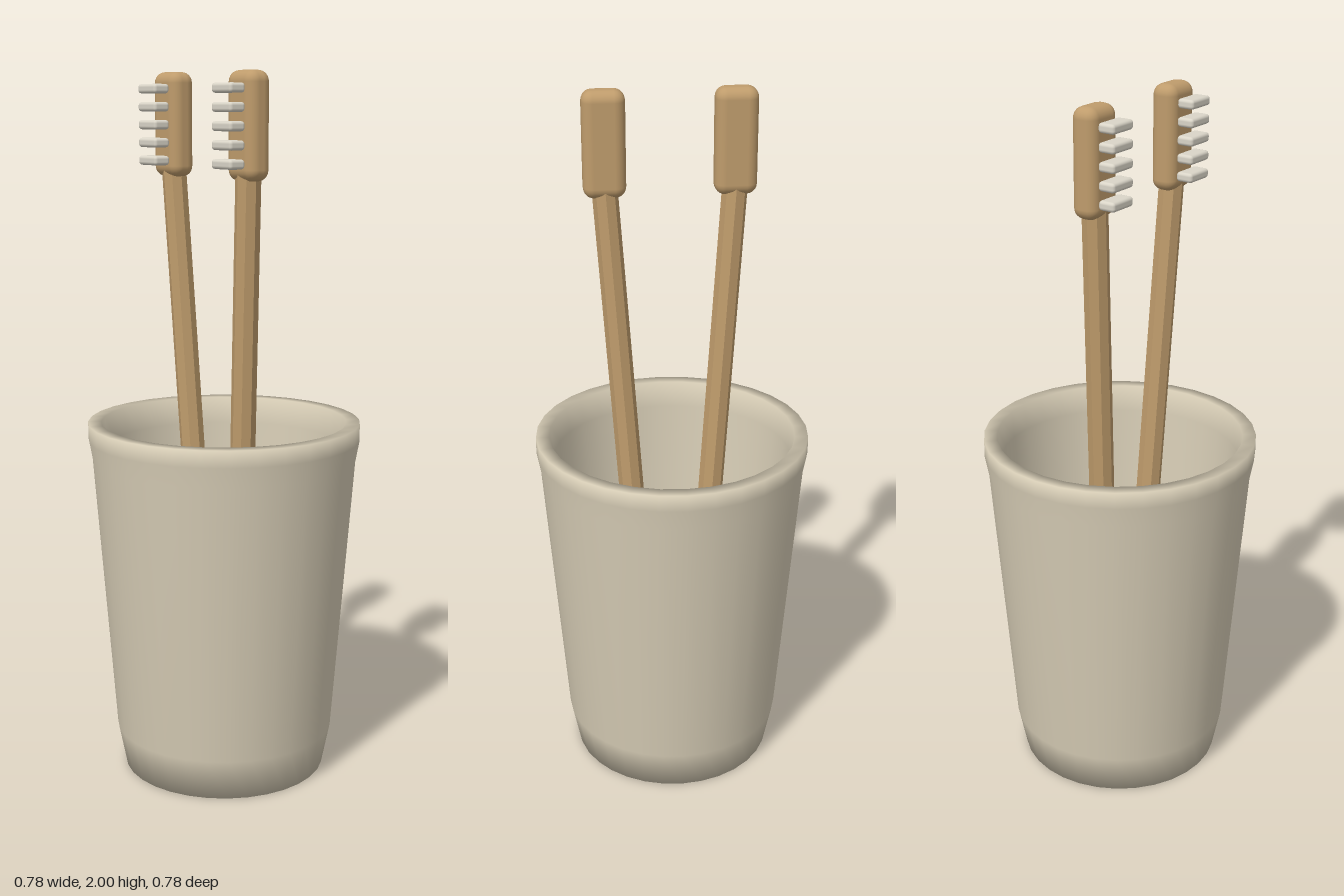
import * as THREE from 'three';
import { RoundedBoxGeometry } from 'three/addons/geometries/RoundedBoxGeometry.js';

const ceramic = new THREE.MeshStandardMaterial({ name: 'ceramic', color: 0xd6ccb5 });
const wood = new THREE.MeshStandardMaterial({ name: 'wood', color: 0xbf9c6c });
const woodFlat = wood.clone();
woodFlat.name = 'woodFaceted';
woodFlat.flatShading = true;
const bristle = new THREE.MeshStandardMaterial({ name: 'bristle', color: 0xdad5c8 });

function add(parent, name, geometry, material, x = 0, y = 0, z = 0) {
  const mesh = new THREE.Mesh(geometry, material);
  mesh.name = name;
  mesh.position.set(x, y, z);
  parent.add(mesh);
  return mesh;
}

// One toothbrush leaning outwards; side is +1 or -1
function createBrush(side) {
  const brush = new THREE.Group();
  brush.name = side > 0 ? 'leftToothbrush' : 'rightToothbrush';

  // Handle runs from the cup floor up into the head
  const foot = new THREE.Vector3(side * 0.065, 0.07, 0);
  const neck = new THREE.Vector3(side * 0.176, 1.74, 0.048);
  const axis = neck.clone().sub(foot);
  const handle = add(brush, 'handle', new THREE.CylinderGeometry(0.035, 0.036, axis.length(), 8), woodFlat);
  handle.position.copy(foot).add(neck).multiplyScalar(0.5);
  handle.quaternion.setFromUnitVectors(new THREE.Vector3(0, 1, 0), axis.normalize());

  // Upright head with five bristle rows in front of it
  add(brush, 'head', new RoundedBoxGeometry(0.116, 0.288, 0.075, 3, 0.03), wood, side * 0.176, 1.856, 0.048);
  for (let i = 0; i < 5; i++) {
    add(brush, 'bristleRow', new RoundedBoxGeometry(0.088, 0.026, 0.05, 2, 0.009), bristle,
      side * 0.176, 1.758 + i * 0.049, 0.115);
  }
  return brush;
}

export function createModel() {
  const model = new THREE.Group();
  model.name = 'toothbrushCup';

  // Cup: outer wall, flared lip, inner wall and floor in one profile
  const profile = [
    [0, 0], [0.292, 0], [0.316, 0.12], [0.377, 0.92], [0.388, 0.98], [0.388, 1.028],
    [0.35, 1.028], [0.343, 0.95], [0.285, 0.14], [0.26, 0.07], [0, 0.07],
  ].map(([r, y]) => new THREE.Vector2(r, y));
  add(model, 'cup', new THREE.LatheGeometry(profile, 32), ceramic);

  model.add(createBrush(1), createBrush(-1));
  return model;
}
